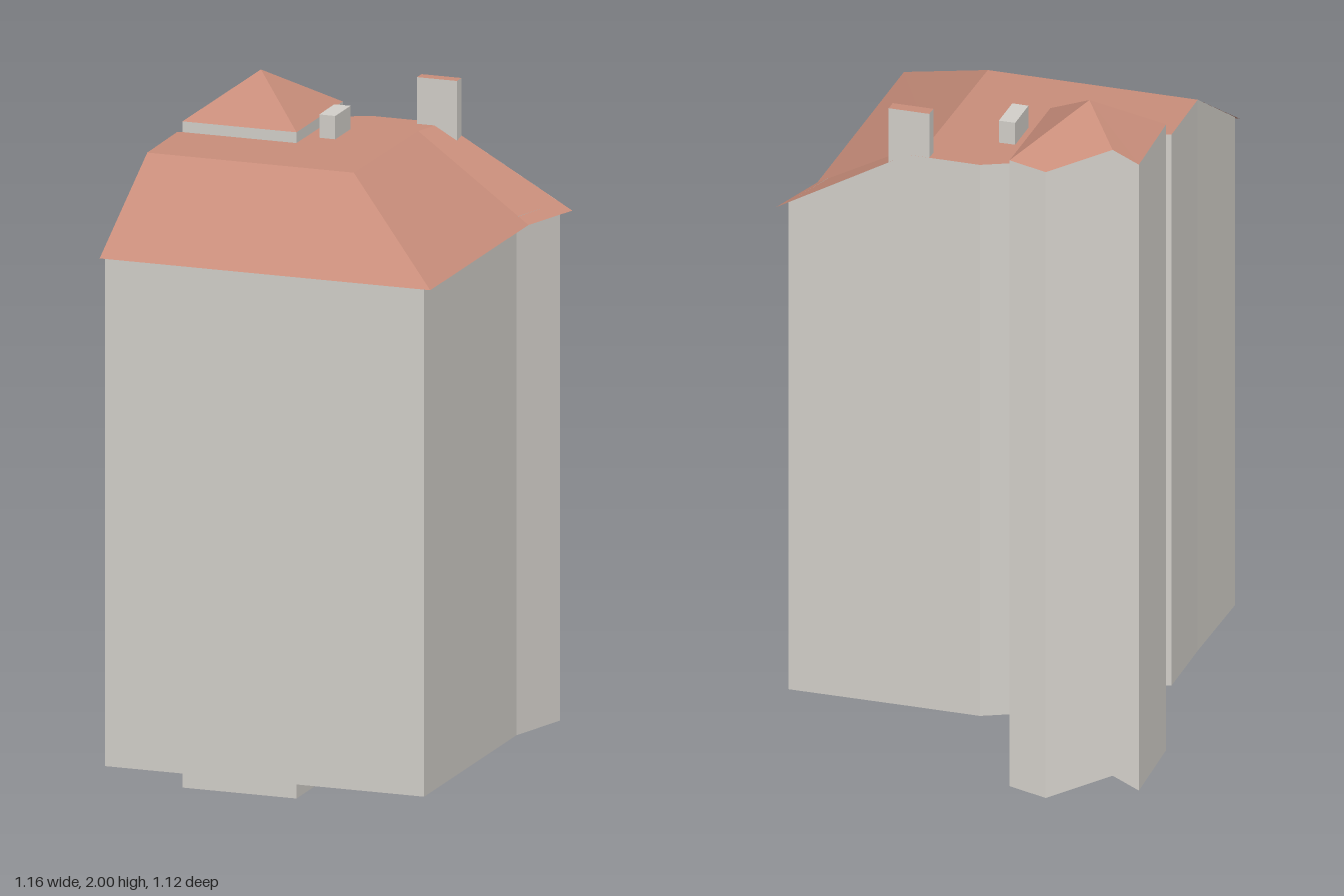
import * as THREE from 'three';

const wallMat = new THREE.MeshStandardMaterial({ color: 0xd2cfc9, side: THREE.DoubleSide });
wallMat.name = 'pale stone';
const roofMat = new THREE.MeshStandardMaterial({ color: 0xc88d7a, side: THREE.DoubleSide });
roofMat.name = 'terracotta';

function toMesh(name, positions, material) {
  const geometry = new THREE.BufferGeometry();
  geometry.setAttribute('position', new THREE.Float32BufferAttribute(positions, 3));
  geometry.computeVertexNormals();
  const mesh = new THREE.Mesh(geometry, material);
  mesh.name = name;
  return mesh;
}

// Upright walls along a counterclockwise plan; each point is [x, z, top, bottom]
function walls(name, plan, closed) {
  const out = [];
  const count = closed ? plan.length : plan.length - 1;
  for (let i = 0; i < count; i++) {
    const [ax, az, at, ab] = plan[i];
    const [bx, bz, bt, bb] = plan[(i + 1) % plan.length];
    out.push(ax, ab, az, bx, bb, bz, bx, bt, bz, ax, ab, az, bx, bt, bz, ax, at, az);
  }
  return toMesh(name, out, wallMat);
}

// Polygon faces, each a loop of [x, z, y], all turned up or all turned down
function faces(name, polygons, material, up = true) {
  const out = [];
  for (const poly of polygons) {
    const flat = poly.map(([x, z]) => new THREE.Vector2(x, -z));
    for (const [a, b, c] of THREE.ShapeUtils.triangulateShape(flat, [])) {
      const isUp = THREE.ShapeUtils.area([flat[a], flat[b], flat[c]]) > 0;
      for (const i of isUp === up ? [a, b, c] : [a, c, b]) out.push(poly[i][0], poly[i][2], poly[i][1]);
    }
  }
  return toMesh(name, out, material);
}

// Straight prism with a flat cap
function block(name, corners, bottom, top, capMat) {
  const group = new THREE.Group();
  group.name = name;
  group.add(walls(name + 'Sides', corners.map(([x, z]) => [x, z, top, bottom]), true));
  group.add(faces(name + 'Cap', [corners.map(([x, z]) => [x, z, top])], capMat));
  return group;
}

export function createModel() {
  const model = new THREE.Group();
  model.name = 'house';
  const base = 0.215, eave = 1.64, ridge = 1.85;

  // Main walls, with gables at the back and the left side
  const bodyPlan = [
    [0, -0.505, ridge], [-0.006, -0.518, ridge], [-0.236, -0.455, ridge], [-0.54, -0.38, 1.663],
    [-0.315, 0.515, 1.66], [0.373, 0.335, 1.66], [0.57, 0.34, 1.66],
    [0.487, 0.011, ridge], [0.438, -0.188, ridge], [0.376, -0.262, ridge],
  ].map(([x, z, top]) => [x, z, top, base]);
  model.add(walls('mainWalls', bodyPlan, false));

  // Floor, notched around the tower
  const floor = [...bodyPlan, [0.08, -0.185]].map(([x, z]) => [x, z, base]);
  model.add(faces('floor', [floor], wallMat, false));

  // Hipped main roof with a flat top
  const backEave = [-0.58, -0.37, eave], frontEave = [-0.348, 0.558, eave];
  const bendEave = [0.382, 0.368, eave], sideEave = [0.578, 0.375, eave];
  const backTop = [-0.236, -0.455, ridge], frontTop = [-0.093, 0.126, ridge];
  const bendTop = [0.376, 0.008, ridge], sideTop = [0.487, 0.011, ridge];
  model.add(faces('mainRoof', [
    [backEave, frontEave, frontTop, backTop],
    [frontEave, bendEave, bendTop, frontTop],
    [bendEave, sideEave, sideTop, bendTop],
    [backTop, frontTop, bendTop, sideTop, [0.438, -0.188, ridge], [0.376, -0.262, ridge],
      [0.08, -0.185, ridge], [0, -0.505, ridge], [-0.006, -0.518, ridge]],
  ], roofMat));

  // Corner tower, open underneath, its lower rim following the eave
  const rim = [
    [0.08, -0.185, 1.88], [0.425, -0.275, 1.88], [0.4, -0.375, 1.86],
    [0.273, -0.508, 1.91], [0.224, -0.561, 1.86], [0, -0.505, 1.88],
  ];
  model.add(walls('towerWalls', rim.map(([x, z, y]) => [x, z, y, y - 1.857]), true));

  // Tower pyramid roof
  const apex = [0.2, -0.387, 2];
  model.add(faces('towerRoof', [
    [apex, rim[0], rim[1]], [apex, rim[1], rim[2], rim[3]],
    [apex, rim[3], rim[4], rim[5]], [apex, rim[5], rim[0]],
  ], roofMat));

  // Small roof box and side chimney
  model.add(block('roofBox',
    [[0.173, -0.123], [0.288, -0.153], [0.276, -0.198], [0.163, -0.168]], ridge, 1.915, wallMat));
  model.add(block('chimney',
    [[0.466, 0.073], [0.5, 0.064], [0.472, -0.048], [0.438, -0.04]], 1.8, 1.98, roofMat));

  return model;
}
